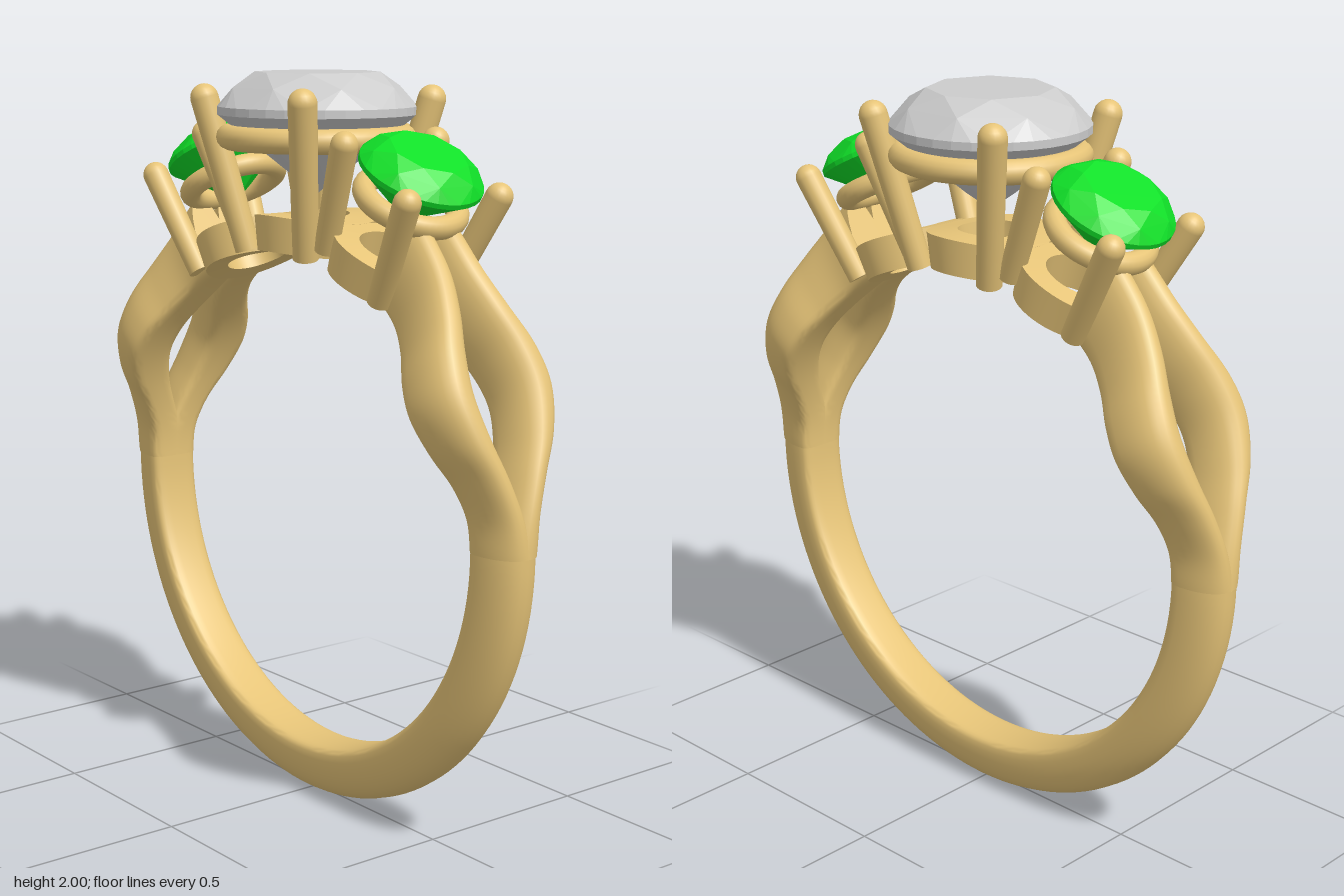
import * as THREE from 'three';
import { ConvexGeometry } from 'three/addons/geometries/ConvexGeometry.js';
import { mergeGeometries, toCreasedNormals } from 'three/addons/utils/BufferGeometryUtils.js';

const gold = new THREE.MeshStandardMaterial({ color: 0xe6c478 });
const green = new THREE.MeshStandardMaterial({ color: 0x10e028, flatShading: true });
const clear = new THREE.MeshStandardMaterial({ color: 0xcccccc, flatShading: true });

const CY = 0.842, R_IN = 0.692, R_OUT = 0.842; // finger hole centre and band radii

function add(parent, name, geometry, material = gold) {
  const mesh = new THREE.Mesh(geometry, material);
  mesh.name = name;
  parent.add(mesh);
  return mesh;
}

// Sweeps a D-shaped section round the finger; station = { a, c, w, rOut }
function sweepBand(stations, sides = 28) {
  const pos = [], idx = [];
  const n = stations.length;
  const pow = (v, e) => Math.sign(v) * Math.abs(v) ** e;
  for (const { a, c, w, rOut } of stations) {
    for (let j = 0; j < sides; j++) {
      const t = (j / sides) * Math.PI * 2, s = Math.sin(t);
      const u = pow(Math.cos(t), s < 0 ? 0.5 : 0.9);
      const v = s < 0 ? 0.25 + 0.25 * pow(s, 0.5) : 0.25 + 0.75 * s;
      const r = R_IN + (rOut - R_IN) * v;
      pos.push(Math.cos(a) * r, CY + Math.sin(a) * r, c + w * u);
    }
  }
  for (let i = 0; i < n - 1; i++) {
    for (let j = 0; j < sides; j++) {
      const k = (j + 1) % sides, p = i * sides, q = p + sides;
      idx.push(p + j, p + k, q + j, p + k, q + k, q + j);
    }
  }
  // end caps
  const last = (n - 1) * sides;
  for (let j = 1; j < sides - 1; j++) {
    idx.push(0, j + 1, j, last, last + j, last + j + 1);
  }
  const g = new THREE.BufferGeometry();
  g.setAttribute('position', new THREE.Float32BufferAttribute(pos, 3));
  g.setIndex(idx);
  return toCreasedNormals(g, 0.9);
}

// Annulus bent to follow the finger hole, at an angle from the top
function bentRing(outer, hole, height, angle) {
  const profile = [[hole, 0], [outer, 0], [outer, height], [hole, height], [hole, 0]]
    .map(([x, y]) => new THREE.Vector2(x, y));
  const g = new THREE.LatheGeometry(profile, 48);
  const p = g.attributes.position;
  for (let i = 0; i < p.count; i++) {
    const th = angle + p.getX(i) / 0.74, r = R_IN + p.getY(i);
    p.setXY(i, Math.sin(th) * r, CY + Math.cos(th) * r);
  }
  return toCreasedNormals(g, 0.6);
}

// Round-tipped claw between two points
function prong(bottom, top, radius) {
  const a = new THREE.Vector3(...bottom), b = new THREE.Vector3(...top);
  const d = b.clone().sub(a), len = d.length();
  const rod = new THREE.CylinderGeometry(radius, radius * 0.9, len, 20).translate(0, len / 2, 0);
  const tip = new THREE.SphereGeometry(radius, 20, 12).translate(0, len, 0);
  const g = mergeGeometries([rod, tip]);
  g.applyQuaternion(new THREE.Quaternion().setFromUnitVectors(new THREE.Vector3(0, 1, 0), d.normalize()));
  return g.translate(a.x, a.y, a.z);
}

// Round brilliant cut with its girdle at y = 0
function brilliant(radius) {
  const pts = [];
  const ring = (r, y, n, turn = 0) => {
    for (let i = 0; i < n; i++) {
      const t = ((i + turn) / n) * Math.PI * 2;
      pts.push(new THREE.Vector3(Math.cos(t) * r, y, Math.sin(t) * r).multiplyScalar(radius));
    }
  };
  ring(0.63, 0.375, 8);
  ring(0.86, 0.23, 8, 0.5);
  ring(1, 0.04, 32);
  ring(1, -0.04, 32);
  ring(0.25, -0.65, 8, 0.5);
  pts.push(new THREE.Vector3(0, -0.83 * radius, 0));
  return new ConvexGeometry(pts);
}

// Stone, seat ring and four claws
function setting(name, stone, material, o) {
  const g = new THREE.Group();
  g.name = name;
  add(g, 'stone', brilliant(stone), material);
  add(g, 'seatRing', new THREE.TorusGeometry(o.seatR, o.seatTube, 14, 56).rotateX(Math.PI / 2)).position.y = o.seatY;
  for (const x of [-1, 1]) {
    for (const z of [-1, 1]) {
      const [bx, by, bz] = o.bottom, [tx, ty, tz] = o.top;
      add(g, 'prong', prong([x * bx, by, z * bz], [x * tx, ty, z * tz], o.claw));
    }
  }
  return g;
}

export function createModel() {
  const ring = new THREE.Group();
  ring.name = 'ring';

  // Plain lower half of the band
  const lower = [];
  for (let i = 0; i <= 72; i++) {
    lower.push({ a: Math.PI + (i / 72) * Math.PI, c: 0, w: 0.072, rOut: R_OUT });
  }
  add(ring, 'lowerBand', sweepBand(lower));

  // Split shoulder path: angle in degrees, inner z, outer z
  const path = new THREE.CatmullRomCurve3([
    [0, -0.06, 0.073], [7, -0.025, 0.08], [14, 0.01, 0.115], [21, 0.042, 0.168], [29, 0.06, 0.2],
    [36, 0.047, 0.186], [43, 0.018, 0.145], [50, -0.005, 0.113], [58, -0.01, 0.1],
  ].map((p) => new THREE.Vector3(...p)));
  const stations = (side) => path.getPoints(48).map(({ x, y, z }) => ({
    a: THREE.MathUtils.degToRad(x),
    c: side * (y + z) / 2,
    w: (z - y) / 2,
    rOut: R_OUT + 0.08 * Math.max(0, x / 55) ** 2.5,
  }));

  // Shoulders and side settings, turned about for the other side
  for (const [name, turn] of [['leftSide', 0], ['rightSide', Math.PI]]) {
    const half = new THREE.Group();
    half.name = name;
    half.rotation.y = turn;
    for (const side of [1, -1]) add(half, 'shoulderStrand', sweepBand(stations(side)));
    add(half, 'sideBaseRing', bentRing(0.15, 0.085, 0.095, 0.41));
    const s = setting('sideSetting', 0.165, green, {
      seatR: 0.125, seatTube: 0.03, seatY: -0.085, claw: 0.036,
      bottom: [0.122, -0.3, 0.11], top: [0.138, 0.005, 0.152],
    });
    s.position.set(0.425, 1.76, 0);
    s.rotation.z = -THREE.MathUtils.degToRad(27.5);
    half.add(s);
    ring.add(half);
  }

  // Centre setting
  add(ring, 'centreBaseRing', bentRing(0.165, 0.085, 0.095, 0));
  const centre = setting('centreSetting', 0.267, clear, {
    seatR: 0.237, seatTube: 0.033, seatY: -0.07, claw: 0.038,
    bottom: [0.128, -0.375, 0.138], top: [0.215, 0.03, 0.215],
  });
  centre.position.y = 1.9;
  ring.add(centre);
  return ring;
}
